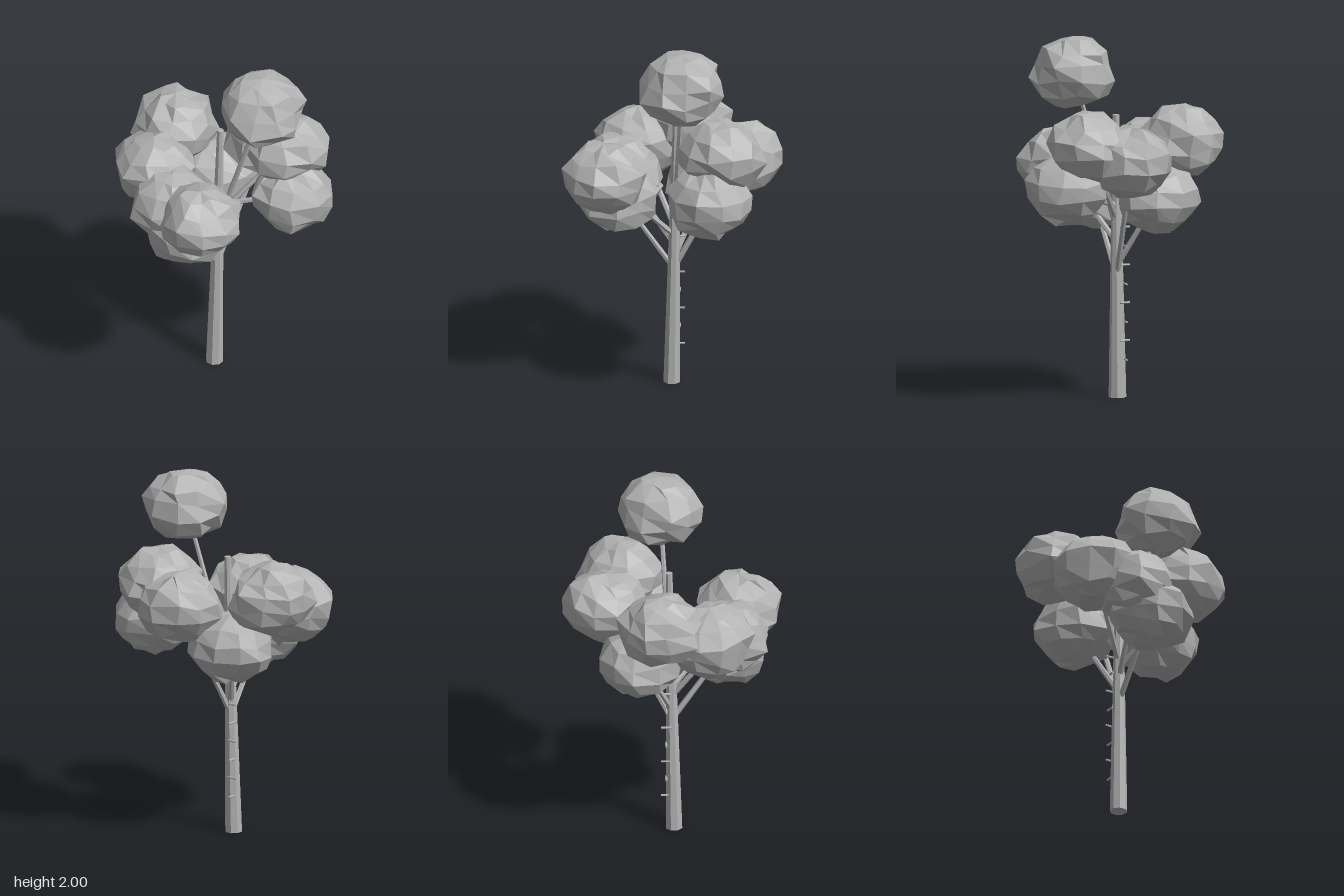
import * as THREE from 'three';
import { mergeVertices } from 'three/addons/utils/BufferGeometryUtils.js';

const V = (x, y, z) => new THREE.Vector3(x, y, z);

// small seeded random generator, returns -1..1
function seeded(seed) {
  let s = seed * 7919 + 17;
  return () => {
    s = (s * 16807) % 2147483647;
    return (s / 2147483647) * 2 - 1;
  };
}

export function createModel() {
  const tree = new THREE.Group();
  tree.name = 'tree';
  const clay = new THREE.MeshStandardMaterial({ color: 0xb3b3b3, flatShading: true });
  clay.name = 'plain grey';

  const add = (name, geometry) => {
    const mesh = new THREE.Mesh(geometry, clay);
    mesh.name = name;
    tree.add(mesh);
    return mesh;
  };

  // tapered rod between two points
  const rod = (name, a, b, r0, r1, sides) => {
    const dir = b.clone().sub(a);
    const mesh = add(name, new THREE.CylinderGeometry(r1, r0, dir.length(), sides));
    mesh.position.copy(a).lerp(b, 0.5);
    mesh.quaternion.setFromUnitVectors(V(0, 1, 0), dir.normalize());
    return mesh;
  };

  // faceted, slightly squashed leaf ball with irregular corners
  const leafBall = (seed) => {
    let geo = new THREE.SphereGeometry(1, 10, 7);
    geo.deleteAttribute('uv');
    geo.deleteAttribute('normal');
    geo = mergeVertices(geo, 1e-3);
    const rand = seeded(seed);
    const pos = geo.attributes.position;
    const p = V(0, 0, 0);
    for (let i = 0; i < pos.count; i++) {
      p.fromBufferAttribute(pos, i);
      const pole = Math.abs(p.y) > 0.99;
      const jitter = V(rand(), rand(), rand()).multiplyScalar(pole ? 0 : 0.09);
      p.multiplyScalar(1 + rand() * (pole ? 0.01 : 0.035)).add(jitter);
      pos.setXYZ(i, p.x * 0.23, p.y * 0.195, p.z * 0.23);
    }
    geo.computeVertexNormals();
    return geo;
  };

  // leaning trunk
  const base = V(-0.045, 0, -0.058);
  const top = V(-0.012, 1.55, -0.062);
  const trunkAt = (y) => base.clone().lerp(top, y / 1.55);
  const trunkMid = trunkAt(0.7);
  const trunk = rod('trunk', base, top, 0.048, 0.019, 8);
  trunk.rotateY(Math.PI / 8);

  // climbing pegs, crossing in alternate directions on the back of the trunk
  for (let i = 0; i < 8; i++) {
    const y = 0.21 + i * 0.1035;
    const side = i % 2 ? 1 : -1;
    const c = V(trunkMid.x - 0.003, y, -0.107);
    const half = V(0.02 * side, 0, 0.02);
    rod('peg', c.clone().sub(half), c.clone().add(half), 0.006, 0.006, 6);
  }

  // leaf balls: centre x, y, z and the height where the branch leaves the trunk
  const crowns = [
    [0.205, 1.805, 0.095, 0.92],
    [-0.228, 1.4, -0.355, 0.95],
    [-0.37, 1.295, -0.112, 0.9],
    [0.36, 1.415, -0.06, 0.98],
    [0.262, 1.335, -0.27, 0.66],
    [0.375, 1.185, 0.06, 1.05],
    [-0.155, 1.25, 0.34, 0.85],
    [-0.285, 1.2, 0.1, 0.8],
    [-0.02, 1.11, -0.305, 0.72],
    [-0.225, 1.085, 0.165, 0.66],
  ];
  crowns.forEach(([x, y, z, start], i) => {
    const centre = V(x, y, z);
    rod('branch', trunkAt(start), centre, 0.017, 0.012, 6);
    const ball = add('leafBall', leafBall(i + 1));
    ball.position.copy(centre);
    ball.rotation.y = i * 1.3;
  });

  return tree;
}
